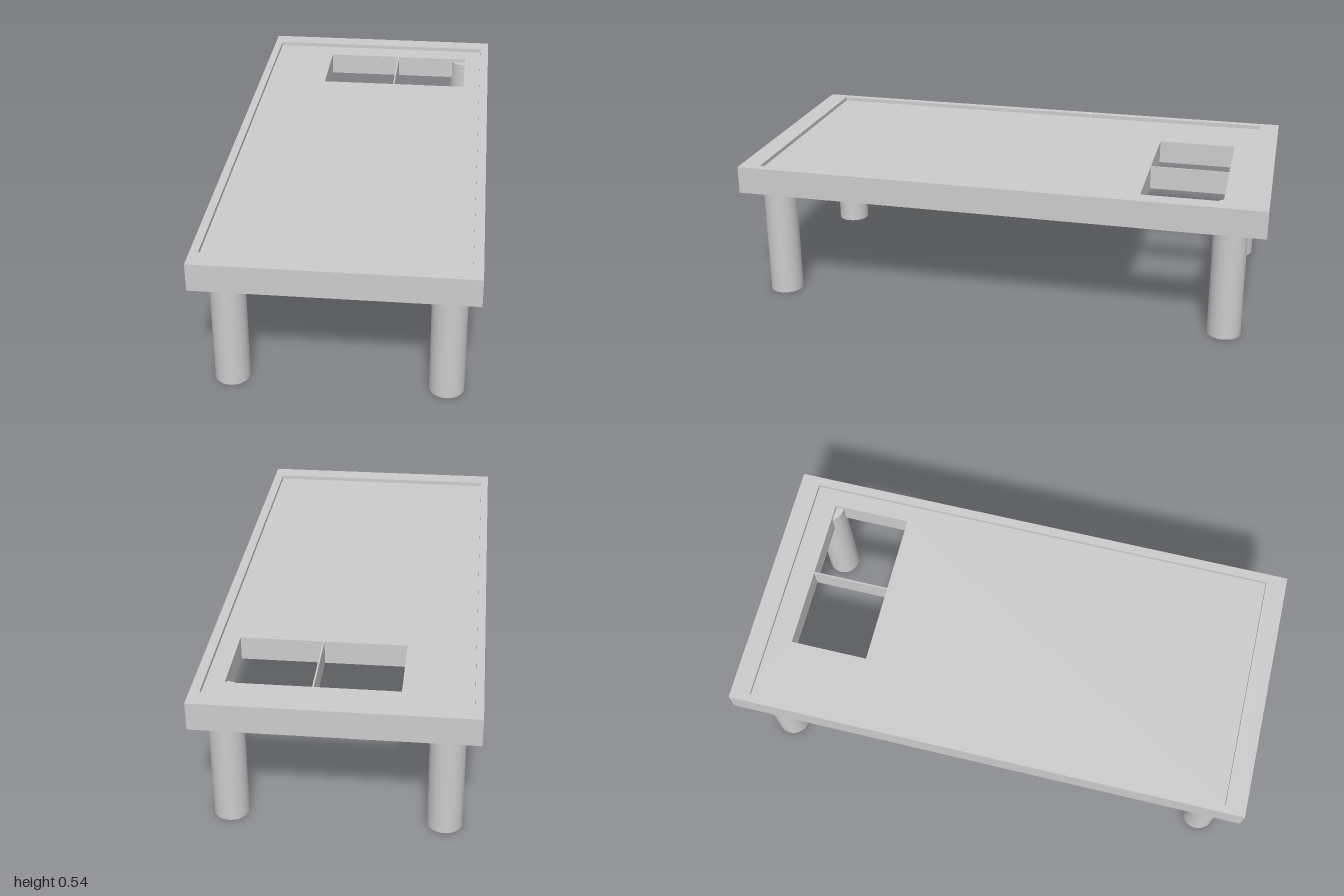
import * as THREE from 'three';

const BOTTOM = 0.435, FLOOR = 0.525, TOP = 0.54;

// Trace a rectangle given in x and z; shape y maps to -z once laid flat
function rect(path, x0, x1, z0, z1) {
  path.moveTo(x0, -z1);
  path.lineTo(x1, -z1);
  path.lineTo(x1, -z0);
  path.lineTo(x0, -z0);
  path.closePath();
  return path;
}

export function createModel() {
  const group = new THREE.Group();
  group.name = 'table';
  const material = new THREE.MeshStandardMaterial({ color: 0xcccccc });

  const add = (name, geometry) => {
    const mesh = new THREE.Mesh(geometry, material);
    mesh.name = name;
    group.add(mesh);
    return mesh;
  };

  // Horizontal board with rectangular openings
  const board = (name, y0, y1, holes) => {
    const shape = rect(new THREE.Shape(), -0.495, 0.495, -1, 1);
    for (const h of holes) shape.holes.push(rect(new THREE.Path(), ...h));
    const geometry = new THREE.ExtrudeGeometry(shape, { depth: y1 - y0, bevelEnabled: false });
    geometry.rotateX(-Math.PI / 2);
    add(name, geometry).position.y = y0;
  };

  // Table top: two openings leave a thin divider between them
  board('tableTop', BOTTOM, FLOOR, [
    [-0.217, 0.084, -0.836, -0.535],
    [0.09, 0.392, -0.836, -0.535],
  ]);

  // Low raised border around the recessed surface
  board('rim', FLOOR, TOP, [[-0.465, 0.46, -0.925, 0.922]]);

  // Round legs, let into the table top
  const legHeight = 0.51;
  const legGeometry = new THREE.CylinderGeometry(0.063, 0.063, legHeight, 48);
  for (const [side, x] of [['Right', -0.381], ['Left', 0.388]]) {
    for (const [end, z] of [['front', 0.881], ['back', -0.868]]) {
      add(`${end}${side}Leg`, legGeometry).position.set(x, legHeight / 2, z);
    }
  }

  return group;
}
